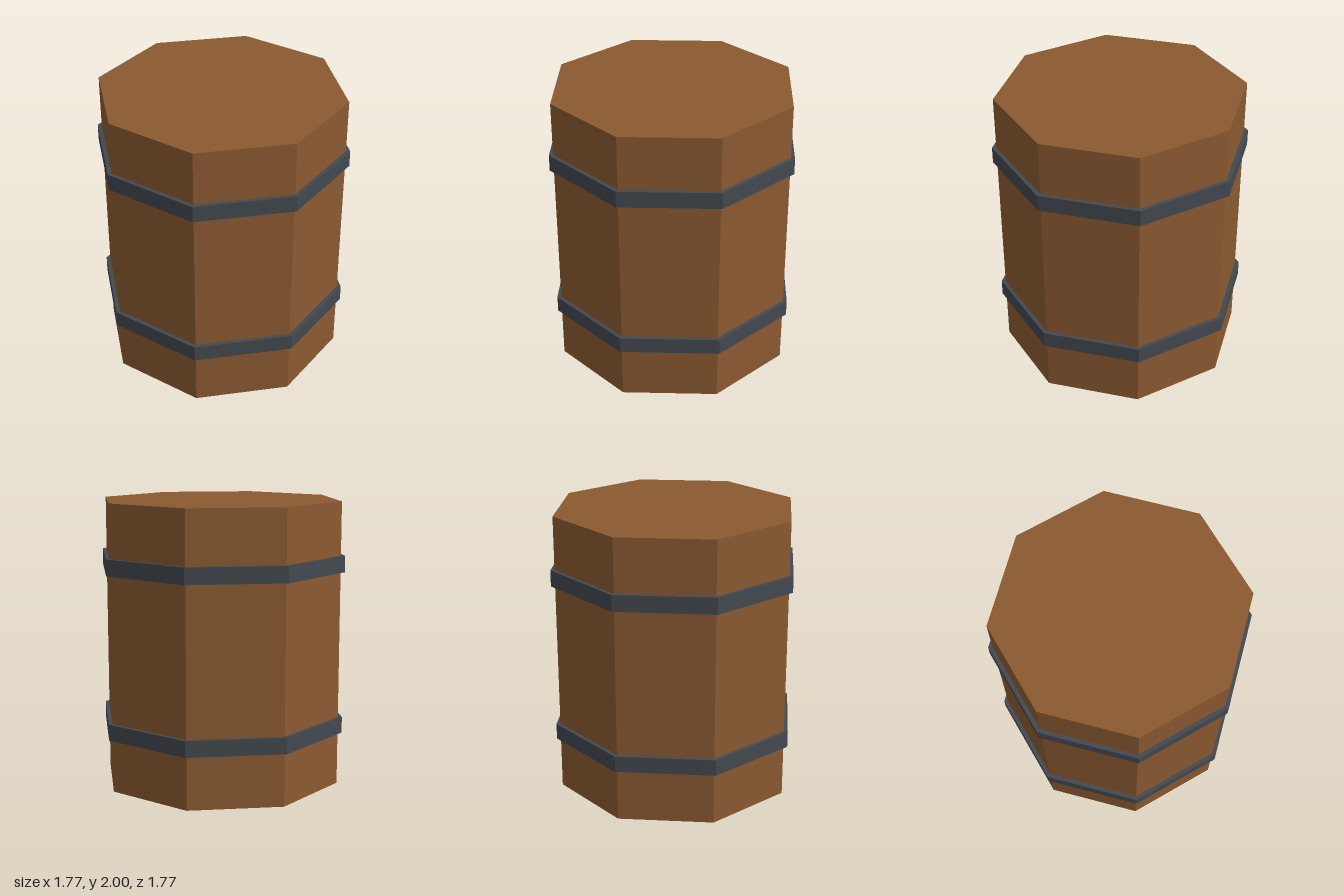
import * as THREE from 'three';

const SIDES = 8;

export function createModel() {
  const wood = new THREE.MeshStandardMaterial({ color: 0x8b5a31 });
  wood.name = 'brown wood';
  const iron = new THREE.MeshStandardMaterial({ color: 0x434950 });
  iron.name = 'dark iron';
  wood.flatShading = iron.flatShading = true;

  const barrel = new THREE.Group();
  barrel.name = 'barrel';

  // Eight-sided prism with corners on the x and z axes
  const addPrism = (name, radius, height, y, material) => {
    const mesh = new THREE.Mesh(new THREE.CylinderGeometry(radius, radius, height, SIDES), material);
    mesh.name = name;
    mesh.position.y = y;
    barrel.add(mesh);
  };

  // Wooden body
  addPrism('body', 0.857, 2, 1, wood);

  // Iron hoops
  addPrism('lowerHoop', 0.886, 0.114, 0.429, iron);
  addPrism('upperHoop', 0.886, 0.114, 1.571, iron);

  return barrel;
}
